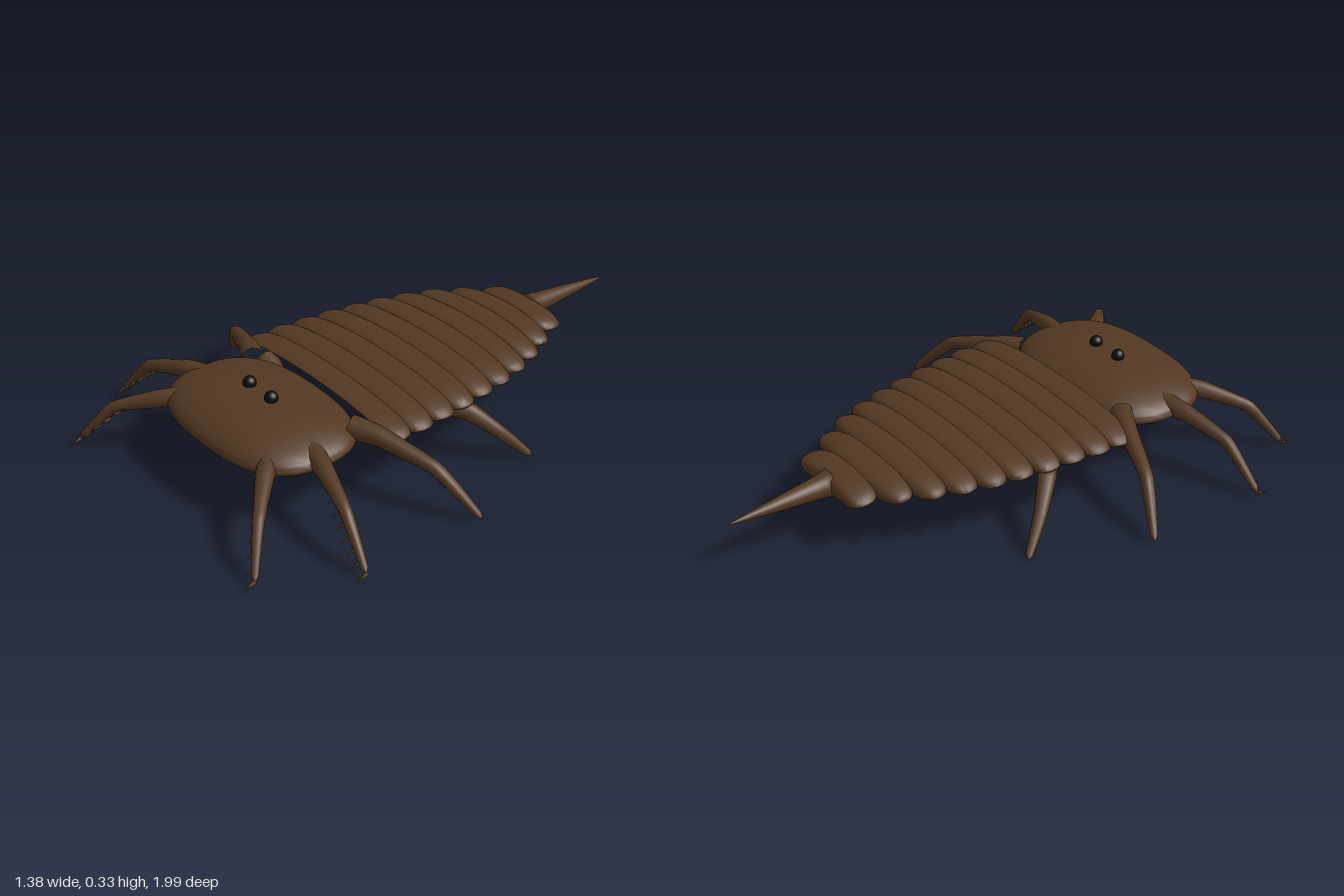
import * as THREE from 'three';
import { toCreasedNormals } from 'three/addons/utils/BufferGeometryUtils.js';

const shell = new THREE.MeshStandardMaterial({ color: 0x533822 });
shell.name = 'brown shell';
const black = new THREE.MeshStandardMaterial({ color: 0x0c0c0c });
black.name = 'black eye';

const V = (x, y, z) => new THREE.Vector3(x, y, z);
const lerpList = (list, t) => {
  const f = Math.min(Math.max(t, 0), 1) * (list.length - 1);
  const i = Math.min(Math.floor(f), list.length - 2);
  return THREE.MathUtils.lerp(list[i], list[i + 1], f - i);
};

function add(parent, name, geometry, material = shell) {
  const mesh = new THREE.Mesh(geometry, material);
  mesh.name = name;
  parent.add(mesh);
  return mesh;
}

// Tapered, softly bent limb with a closed tip
function limbGeometry(points, radii) {
  const curve = new THREE.CatmullRomCurve3(points, false, 'catmullrom', 0.2);
  const steps = 24, sides = 12;
  const geo = new THREE.TubeGeometry(curve, steps, 1, sides);
  const pos = geo.attributes.position, v = V(0, 0, 0);
  for (let i = 0; i <= steps; i++) {
    const t = i / steps, c = curve.getPointAt(t);
    const r = i === steps ? 0.0001 : lerpList(radii, t);
    for (let j = 0; j <= sides; j++) {
      const k = i * (sides + 1) + j;
      v.fromBufferAttribute(pos, k).sub(c).multiplyScalar(r).add(c);
      pos.setXYZ(k, v.x, v.y, v.z);
    }
  }
  return geo;
}

// Domed head shield with a rounded-box outline and a flat underside
function headGeometry() {
  const geo = new THREE.SphereGeometry(1, 64, 40);
  const pos = geo.attributes.position, p = 2.6;
  for (let i = 0; i < pos.count; i++) {
    const x = pos.getX(i), y = pos.getY(i), z = pos.getZ(i);
    const r = Math.hypot(x, z);
    const k = r < 1e-6 ? 1 : 1 / Math.pow(Math.abs(x / r) ** p + Math.abs(z / r) ** p, 1 / p);
    const height = y > 0 ? 0.215 + 0.09 * y : 0.215 - 0.025 * Math.min(1, -y * 2.2);
    pos.setXYZ(i, x * k * 0.36, height, 0.565 + z * k * 0.235);
  }
  geo.deleteAttribute('normal');
  geo.deleteAttribute('uv');
  return toCreasedNormals(geo, 0.9);
}

// Ribbed abdomen: each segment bulges between two grooves
function abdomenGeometry() {
  const widths = [0.415, 0.415, 0.405, 0.395, 0.378, 0.36, 0.332, 0.295, 0.243, 0.18];
  const start = 0.35, length = 0.097, samples = 10, sides = 48;
  const rings = [];
  widths.forEach((w, s) => {
    for (let i = s > 0 ? 1 : 0; i <= samples; i++) {
      const u = i / samples, t = (s + u) / widths.length;
      const bulge = Math.sqrt(Math.max(0, Math.sin(Math.PI * u)));
      const next = widths[s + 1] ?? w;
      const groove = (u > 0.5 ? next : w) - 0.026;
      rings.push({
        z: start - (s + u) * length,
        w: groove + (w - groove) * bulge,
        rim: lerpList([0.225, 0.225, 0.222, 0.218, 0.205], t),
        h: lerpList([0.053, 0.053, 0.05, 0.045, 0.032], t) + 0.009 * bulge,
        d: lerpList([0.02, 0.02, 0.018, 0.016, 0.014], t),
      });
    }
  });
  const last = rings[rings.length - 1];
  rings.push({ ...last, z: last.z - 0.004, w: 0.02, h: 0.01, d: 0.005 });
  const verts = [], index = [];
  rings.forEach((r, i) => {
    for (let j = 0; j < sides; j++) {
      const a = (j / sides) * Math.PI * 2, s = Math.sin(a);
      const y = s >= 0 ? r.h * s : -r.d * Math.min(1, -s * 2);
      verts.push(r.w * Math.cos(a), r.rim + y, r.z);
      if (i > 0) {
        const k = (j + 1) % sides, A = (i - 1) * sides, B = i * sides;
        index.push(A + j, B + j, B + k, A + j, B + k, A + k);
      }
    }
  });
  const geo = new THREE.BufferGeometry();
  geo.setAttribute('position', new THREE.Float32BufferAttribute(verts, 3));
  geo.setIndex(index);
  return toCreasedNormals(geo, 0.9);
}

// Row of fine spines along the outer part of a front leg
function addSpines(parent, from, to, count) {
  const dir = V(0, -0.3, 1).normalize();
  for (let i = 0; i < count; i++) {
    const spine = add(parent, 'legSpine', new THREE.ConeGeometry(0.008, 0.05, 6));
    spine.position.lerpVectors(from, to, i / (count - 1)).addScaledVector(dir, 0.022);
    spine.quaternion.setFromUnitVectors(V(0, 1, 0), dir);
  }
}

export function createModel() {
  const model = new THREE.Group();
  model.name = 'seaScorpion';

  add(model, 'headShield', headGeometry());
  add(model, 'abdomen', abdomenGeometry());

  // Tail spike
  const profile = [[0, 0], [0.05, 0], [0.042, 0.025], [0.037, 0.06], [0.03, 0.13],
    [0.021, 0.22], [0.01, 0.32], [0, 0.385]].map(([r, y]) => new THREE.Vector2(r, y));
  const tail = add(model, 'tailSpike', new THREE.LatheGeometry(profile, 24));
  tail.rotation.x = -Math.PI / 2 - 0.02;
  tail.position.set(0, 0.206, -0.605);

  // Legs, front to back: base, hip, knee, tip
  const legs = [
    { name: 'frontLeg', path: [[0.2, 0.225, 0.66], [0.29, 0.215, 0.755], [0.415, 0.165, 0.87], [0.505, 0.03, 0.955]],
      radii: [0.04, 0.032, 0.023, 0.017, 0.012], spines: 6 },
    { name: 'secondLeg', path: [[0.28, 0.23, 0.57], [0.38, 0.225, 0.595], [0.55, 0.175, 0.64], [0.685, 0.03, 0.668]],
      radii: [0.04, 0.03, 0.023, 0.018, 0.012], spines: 7 },
    { name: 'thirdLeg', path: [[0.27, 0.24, 0.4], [0.36, 0.23, 0.355], [0.55, 0.175, 0.28], [0.69, 0.025, 0.205]],
      radii: [0.042, 0.032, 0.025, 0.021, 0.012] },
    { name: 'hindLeg', path: [[0.3, 0.215, 0.06], [0.38, 0.19, -0.005], [0.445, 0.115, -0.08], [0.505, 0.01, -0.175]],
      radii: [0.038, 0.032, 0.025, 0.02, 0.012] },
  ];
  for (const side of [1, -1]) {
    const label = side > 0 ? 'left' : 'right';
    for (const { name, path, radii, spines } of legs) {
      const leg = new THREE.Group();
      leg.name = `${label} ${name}`;
      const pts = path.map(([x, y, z]) => V(x * side, y, z));
      add(leg, 'limb', limbGeometry(pts, radii));
      if (spines) addSpines(leg, pts[2].clone().lerp(pts[1], 0.35), pts[3], spines);
      model.add(leg);
    }

    // Blunt leg bases under the head
    for (const z of [0.62, 0.525, 0.43, 0.335]) {
      add(model, `${label} legBase`, limbGeometry(
        [V(0.3 * side, 0.205, z), V(0.24 * side, 0.18, z), V(0.18 * side, 0.153, z)],
        [0.035, 0.042, 0.036, 0.025, 0.012]));
    }

    const eye = add(model, `${label} eye`, new THREE.SphereGeometry(0.023, 24, 16), black);
    eye.position.set(0.06 * side, 0.312, 0.56);
  }
  return model;
}
